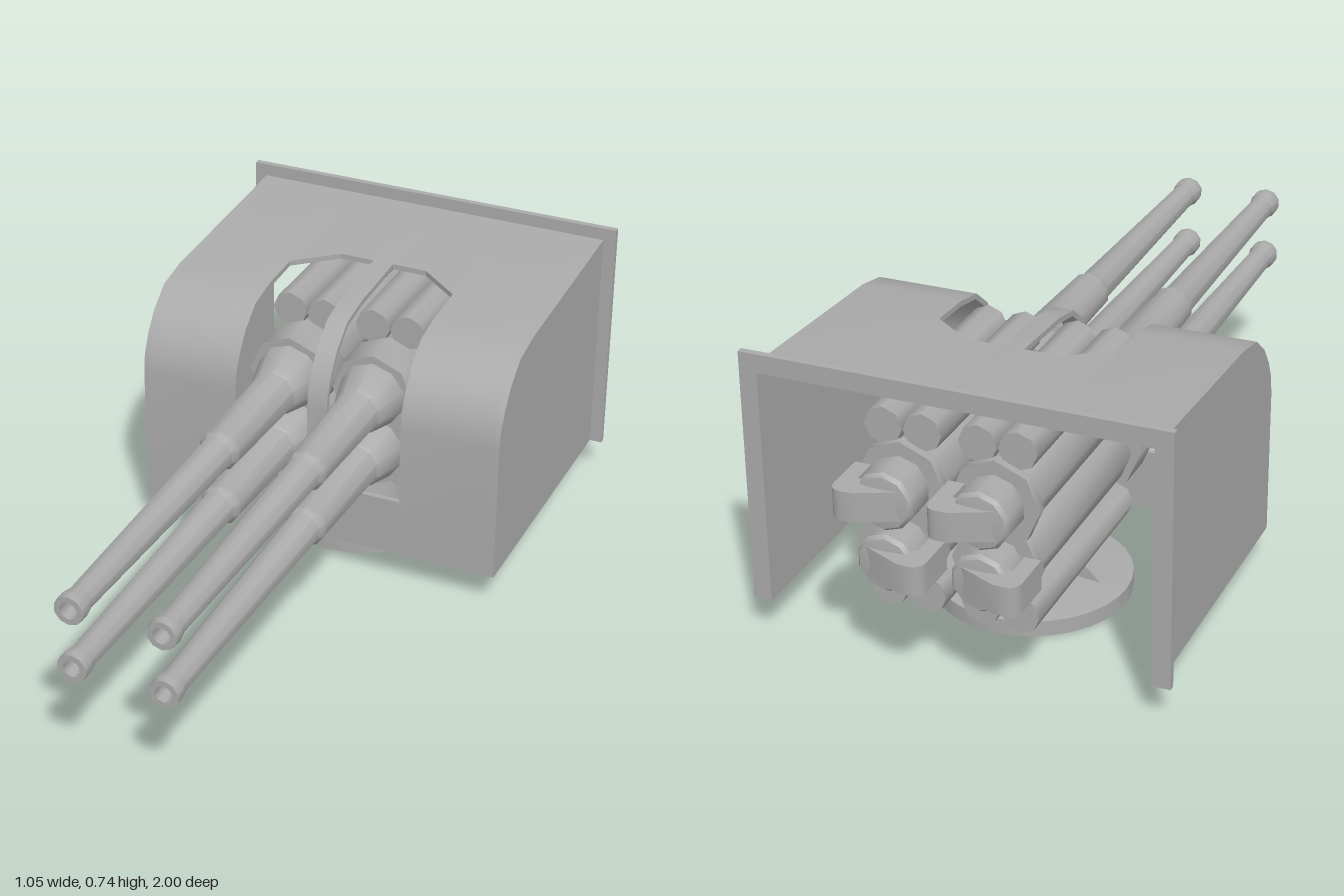
import * as THREE from 'three';
import { toCreasedNormals } from 'three/addons/utils/BufferGeometryUtils.js';

const V = (x, y) => new THREE.Vector2(x, y);
const WALL = 0.014;                       // shield plate thickness
const BACK = 0.825;                       // distance of the shield's rear edge behind centre
const GUN_X = 0.115, GUN_Y = [0.334, 0.49];

// Side profile of the shield: (distance behind centre, height)
const PROFILE = [
  V(0.075, 0.09), V(0.075, 0.46), V(0.082, 0.51), V(0.105, 0.56), V(0.14, 0.608),
  V(0.2, 0.656), V(0.29, 0.674), V(BACK, 0.702),
];

export function createModel() {
  const model = new THREE.Group();
  const gunmetal = new THREE.MeshStandardMaterial({ color: 0xaaaaaa });
  gunmetal.name = 'gunmetal grey';

  function add(name, geometry, parent = model, crease = 0.6) {
    const mesh = new THREE.Mesh(toCreasedNormals(geometry, crease), gunmetal);
    mesh.name = name;
    parent.add(mesh);
    return mesh;
  }
  const extrude = (points, depth) => new THREE.ExtrudeGeometry(
    points instanceof THREE.Shape ? points : new THREE.Shape(points), { depth, bevelEnabled: false, curveSegments: 6 });
  // Extrude a side profile across x, from x0 to x1
  const across = (points, x0, x1) => extrude(points, x1 - x0).rotateY(Math.PI / 2).translate(x0, 0, 0);
  // Extrude a plan shape upwards
  const upward = (points, height) => extrude(points, height).rotateX(-Math.PI / 2);
  // Turn a profile around the z axis
  const turned = (points, sides) => new THREE.LatheGeometry(points, sides).rotateX(Math.PI / 2);

  // ---- Shield ----
  const shield = new THREE.Group();
  shield.name = 'shield';
  model.add(shield);

  // Curved plate: the profile and its inward offset
  const inner = PROFILE.map((p, i) => {
    const a = PROFILE[Math.max(i - 1, 0)], b = PROFILE[Math.min(i + 1, PROFILE.length - 1)];
    const t = b.clone().sub(a).normalize();
    return V(p.x + t.y * WALL, p.y - t.x * WALL);
  });
  inner[inner.length - 1].x = BACK;
  const band = [...PROFILE, ...inner.reverse()];
  const wall = [...PROFILE, V(BACK, 0.09)];
  add('centreRib', across(band, -0.027, 0.027), shield);
  add('lowerFrontPlate', new THREE.BoxGeometry(0.46, 0.156, WALL).translate(0, 0.168, -0.075 - WALL / 2), shield);

  for (const s of [-1, 1]) {
    const span = (a, b) => (s > 0 ? [a, b] : [-b, -a]);
    add('curvedPlate', across(band, ...span(0.228, 0.478)), shield);
    add('sideWall', across(wall, ...span(0.478, 0.49)), shield);

    // Roof behind the gun opening, with its slanted outer corner
    const plan = [V(0.027, 0.495), V(0.12, 0.495), V(0.228, 0.41), V(0.228, BACK), V(0.027, BACK)];
    const roof = upward(plan.map(p => V(p.x * s, p.y)), WALL);
    const pos = roof.attributes.position;
    for (let i = 0; i < pos.count; i++) {
      const k = (-pos.getZ(i) - 0.29) / (BACK - 0.29);
      pos.setY(i, pos.getY(i) - WALL + 0.674 + 0.028 * k);
    }
    add('roofPlate', roof, shield);
  }

  // Rear frame, open below
  add('rearFrame', extrude([
    V(-0.523, 0.09), V(-0.478, 0.09), V(-0.478, 0.688), V(0.478, 0.688),
    V(0.478, 0.09), V(0.523, 0.09), V(0.523, 0.735), V(-0.523, 0.735),
  ], 0.017).translate(0, 0, -0.84), shield);

  // ---- Four guns ----
  const barrelProfile = [
    V(0.088, -0.16), V(0.064, -0.065), V(0.06, -0.06), V(0.053, 0.235), V(0.053, 0.25),
    V(0.045, 0.265), V(0.033, 0.95), V(0.039, 0.98), V(0.037, 1.0),
    V(0.022, 1.0), V(0.019, 0.93), V(0, 0.93),
  ];
  const bodyProfile = [
    V(0, -0.865), V(0.108, -0.865), V(0.108, -0.84), V(0.09, -0.83),
    V(0.09, -0.27), V(0.11, -0.27), V(0.11, -0.16), V(0, -0.16),
  ];
  const breechProfile = [V(0, -0.965), V(0.065, -0.955), V(0.073, -0.945), V(0.073, -0.86), V(0, -0.86)];
  const hook = new THREE.Shape([V(0.07, 0.865), V(0.11, 0.865), V(0.11, 0.965)]);
  hook.quadraticCurveTo(0.11, 1.0, 0.075, 1.0);
  hook.lineTo(0.05, 0.998);
  hook.lineTo(-0.045, 0.955);
  hook.lineTo(0.07, 0.93);

  for (const x of [-GUN_X, GUN_X]) {
    GUN_Y.forEach((y, row) => {
      const gun = new THREE.Group();
      gun.name = 'gun';
      gun.position.set(x, y, 0);
      model.add(gun);
      add('barrel', turned(barrelProfile, 10), gun, 0.65);
      add('gunBody', turned(bodyProfile, 8), gun, 0.85);
      add('breech', turned(breechProfile, 10), gun, 0.65);
      // Breech hooks point left on the upper row and right on the lower row
      const arm = add('breechHook', upward(hook, 0.074).translate(0, -0.037, 0), gun);
      arm.rotation.z = row ? 0 : Math.PI;
    });

    // Recoil cylinders in pairs above and below the guns
    for (const y of [0.205, 0.62]) {
      for (const dx of [-0.048, 0.048]) {
        const tube = new THREE.CylinderGeometry(0.047, 0.047, 0.575, 8).rotateX(Math.PI / 2);
        add('recoilCylinder', tube.translate(x + dx, y, -0.5575), model, 0.85);
      }
    }
  }

  // ---- Pedestal ----
  const pedestal = new THREE.Group();
  pedestal.name = 'pedestal';
  pedestal.position.z = -0.395;
  model.add(pedestal);
  add('baseDisc', new THREE.LatheGeometry([
    V(0, 0), V(0.245, 0), V(0.245, 0.04), V(0.12, 0.053), V(0, 0.053),
  ], 32), pedestal, 0.4);
  add('column', new THREE.CylinderGeometry(0.1, 0.118, 0.14, 16).translate(0, 0.115, 0), pedestal);
  for (let i = 0; i < 4; i++) {
    const web = extrude([V(0.08, 0.042), V(0.185, 0.042), V(0.135, 0.09), V(0.105, 0.13), V(0.08, 0.13)], 0.024);
    add('gusset', web.translate(0, 0, -0.012).rotateY(i * Math.PI / 2), pedestal);
  }

  return model;
}
